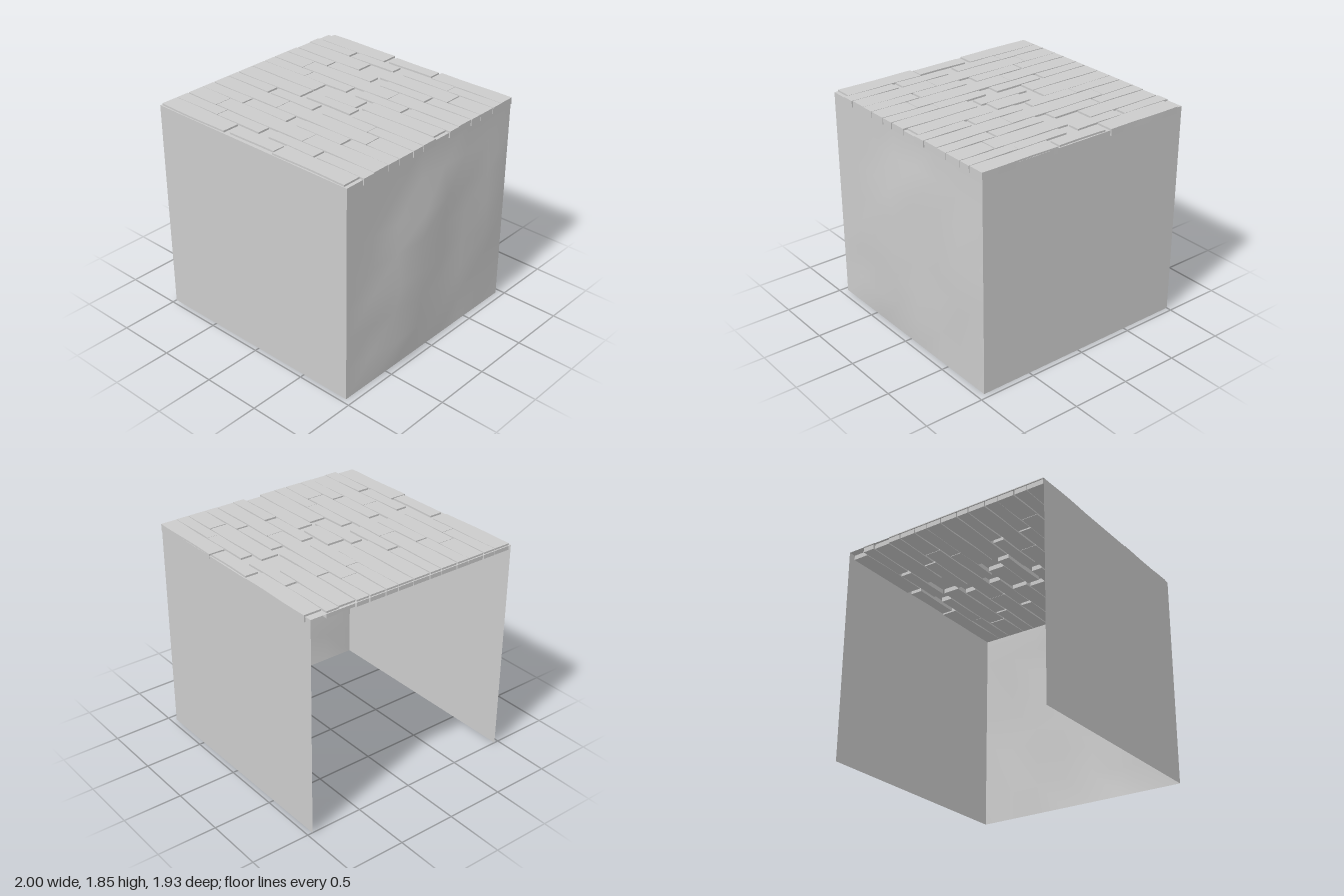
import * as THREE from 'three';

const material = new THREE.MeshStandardMaterial({ color: 0xcccccc });
const panelMaterial = new THREE.MeshStandardMaterial({ color: 0xcccccc, side: THREE.DoubleSide });

const LEFT = -1, RIGHT = 0.94, BACK = -0.955, FRONT = 0.96, ROOF = 1.83;
const PLANK_BOTTOM = 1.79, PLANK_TOP = 1.845;
const WIDTH = RIGHT - LEFT, DEPTH = FRONT - BACK;
const MID_X = (LEFT + RIGHT) / 2, MID_Z = (BACK + FRONT) / 2;

function add(group, name, geometry, mat) {
  const mesh = new THREE.Mesh(geometry, mat);
  mesh.name = name;
  group.add(mesh);
  return mesh;
}

// Side wall: a 7 x 7 grid whose inner points bulge outward
function bumpyWall() {
  const n = 7;
  // bulge in hundredths, rows from top to bottom, columns from front to back
  const bulge = [
    [0, 0, 0, 0, 0, 0],
    [0, 1, 6, 4.5, 1, 2],
    [0, 2, 3, 1, 0.5, 3],
    [0, 5.5, 6, 2, 0, 4],
    [0, 1, 4, 1, 0, 2],
    [0, 4.5, 2, 3, 0, 1],
  ];
  const geometry = new THREE.PlaneGeometry(DEPTH, ROOF, n, n);
  geometry.rotateY(Math.PI / 2);
  const p = geometry.attributes.position;
  for (let row = 1; row < n; row++) {
    for (let col = 1; col < n; col++) {
      p.setX(row * (n + 1) + col, bulge[row - 1][col - 1] / 100);
    }
  }
  geometry.computeVertexNormals();
  return geometry;
}

// Plank with gently uneven long edges
function plank(x0, x1, z0, z1, seed) {
  const length = x1 - x0, width = z1 - z0;
  const geometry = new THREE.BoxGeometry(length, PLANK_TOP - PLANK_BOTTOM, width, 6, 1, 1);
  geometry.translate((x0 + x1) / 2, (PLANK_TOP + PLANK_BOTTOM) / 2, (z0 + z1) / 2);
  const p = geometry.attributes.position;
  for (let i = 0; i < p.count; i++) {
    const side = p.getZ(i) > (z0 + z1) / 2 ? 1 : -1;
    p.setZ(i, p.getZ(i) + 0.003 * Math.sin(p.getX(i) * 9 + seed * 2.3 + side));
  }
  geometry.computeVertexNormals();
  return geometry;
}

// Recurring plank layouts: [x start, x end] and optional own [z start, z end]
const A = [[-0.99, -0.54], [-0.505, -0.06], [0.05, 0.5], [0.502, 0.948]];
const B = [[-0.99, -0.54], [-0.525, -0.07], [0.04, 0.485], [0.505, 0.948]];
const C = [[-0.99, -0.667], [-0.663, 0.248], [0.252, 0.945]];
const D = [[-0.99, -0.535], [-0.53, -0.085], [0.02, 0.47], [0.505, 0.952]];

const rows = [
  { z: [-0.955, -0.82], planks: [[-0.94, -0.25, -0.967, -0.815], [-0.21, 0.235, -0.945, -0.84], [0.255, 0.945]] },
  { z: [-0.81, -0.71], planks: A },
  { z: [-0.7, -0.55], planks: [[-0.98, -0.29], [-0.06, 0.625], [0.635, 0.948]] },
  { z: [-0.54, -0.435], planks: B },
  { z: [-0.425, -0.28], planks: C },
  { z: [-0.27, -0.165], planks: D },
  { z: [-0.16, -0.02], planks: [[-0.99, -0.295], [-0.155, 0.16, -0.145, 0], [0.215, 0.91]] },
  { z: [-0.01, 0.135], planks: [[-0.99, -0.295], [-0.245, 0.205, 0.007, 0.113], [0.255, 0.945]] },
  { z: [0.145, 0.248], planks: A },
  { z: [0.258, 0.405], planks: [[-0.99, -0.287], [-0.283, 0.625], [0.632, 0.948]] },
  { z: [0.415, 0.525], planks: B },
  { z: [0.53, 0.677], planks: C },
  { z: [0.687, 0.793], planks: D },
  { z: [0.8, 0.95], planks: [[-0.99, -0.295], [-0.245, 0.205, 0.82, 0.93], [0.217, 0.91]] },
];

export function createModel() {
  const model = new THREE.Group();
  model.name = 'plankToppedBlock';

  // Flat walls at front and back; the left side and the bottom stay open
  const flat = new THREE.PlaneGeometry(WIDTH, ROOF);
  add(model, 'frontWall', flat, panelMaterial).position.set(MID_X, ROOF / 2, FRONT);
  const back = add(model, 'backWall', flat, panelMaterial);
  back.position.set(MID_X, ROOF / 2, BACK);
  back.rotation.y = Math.PI;

  add(model, 'bumpySideWall', bumpyWall(), panelMaterial).position.set(RIGHT, ROOF / 2, MID_Z);

  // Sheet beneath the planks
  const deck = new THREE.PlaneGeometry(WIDTH, DEPTH).rotateX(-Math.PI / 2);
  add(model, 'deck', deck, panelMaterial).position.set(MID_X, ROOF, MID_Z);

  // Plank rows
  const planks = new THREE.Group();
  planks.name = 'planks';
  rows.forEach((row, r) => {
    row.planks.forEach(([x0, x1, z0 = row.z[0], z1 = row.z[1]], i) => {
      add(planks, 'plank', plank(x0, x1, z0, z1, r * 4 + i), material);
    });
  });
  model.add(planks);

  return model;
}
